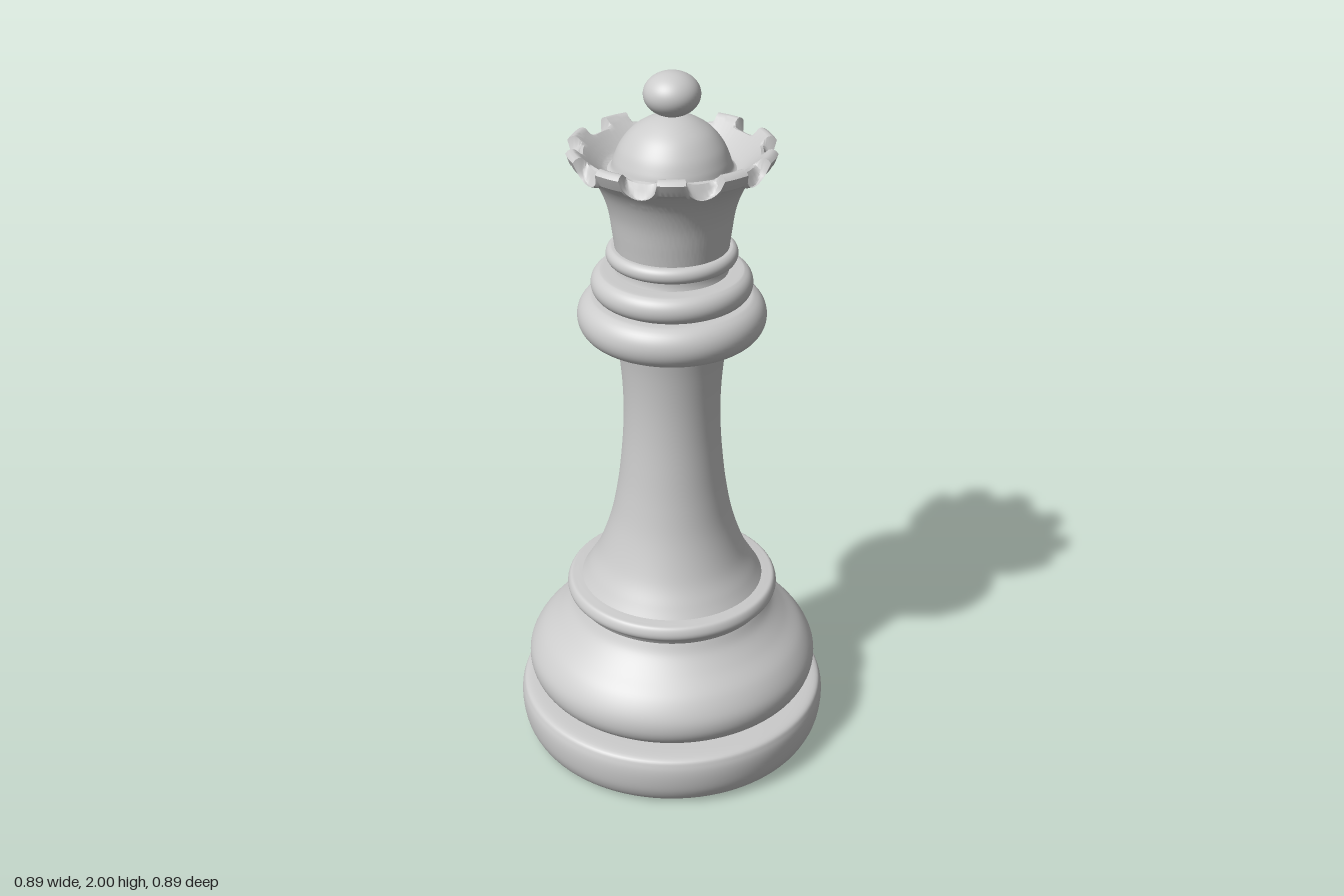
import * as THREE from 'three';
import { mergeVertices, toCreasedNormals } from 'three/addons/utils/BufferGeometryUtils.js';

const material = new THREE.MeshStandardMaterial({ color: 0xcccccc });
const toVectors = (pairs) => pairs.map(([r, y]) => new THREE.Vector2(r, y));

// Turned part: a smooth curve through [radius, height] pairs, bottom to top
function turned(name, pairs, smooth = 6) {
  const curve = new THREE.SplineCurve(toVectors(pairs));
  const points = curve.getPoints((pairs.length - 1) * smooth);
  const mesh = new THREE.Mesh(new THREE.LatheGeometry(points, 96), material);
  mesh.name = name;
  return mesh;
}

// Rounded ring with a squarish rim, closed inwards to the radius inner
function collar(name, inner, outer, y0, y1) {
  const h = y1 - y0, c = h * 0.5;
  const pairs = [[inner, y0]];
  for (let i = 0; i <= 8; i++) {
    const a = -Math.PI / 2 + (Math.PI * i) / 8;
    pairs.push([outer - c * 0.9 + c * 0.9 * Math.cos(a), y0 + c + c * Math.sin(a)]);
  }
  pairs.push([inner, y1]);
  return turned(name, pairs, 3);
}

// Flared cup whose lip is scooped into ten teeth
function crown() {
  const outside = new THREE.SplineCurve(toVectors([
    [0.15, 1.515], [0.157, 1.57], [0.168, 1.64], [0.19, 1.7], [0.222, 1.745], [0.25, 1.765],
  ])).getPoints(30);
  const lip = toVectors([[0.26, 1.768], [0.268, 1.784], [0.275, 1.8], [0.268, 1.808], [0.258, 1.812],
    [0.25, 1.81], [0.243, 1.804], [0.236, 1.798], [0.228, 1.791]]);
  const inside = new THREE.SplineCurve(toVectors([
    [0.22, 1.784], [0.2, 1.766], [0.178, 1.748], [0.162, 1.742],
  ])).getPoints(10);
  let geometry = new THREE.LatheGeometry([...outside, ...lip, ...inside], 240);
  const pos = geometry.attributes.position;
  const teeth = 10, step = 360 / teeth, halfNotch = 10.5;
  for (let i = 0; i < pos.count; i++) {
    const x = pos.getX(i), y = pos.getY(i), z = pos.getZ(i);
    const r = Math.hypot(x, z);
    if (r < 0.225 || y < 1.75) continue;
    // angle from the middle of the nearest notch
    const a = THREE.MathUtils.radToDeg(Math.atan2(-z, x)) + 9;
    const d = THREE.MathUtils.euclideanModulo(a, step) - step / 2;
    const n = Math.sqrt(Math.max(0, 1 - (d / halfNotch) ** 2));
    const drop = n * THREE.MathUtils.smoothstep(r, 0.228, 0.254);
    const k = (r - n * Math.max(0, r - 0.25) * 0.7) / r;
    pos.setXYZ(i, x * k, y - drop * (y - 1.752), z * k);
  }
  geometry.deleteAttribute('normal');
  geometry.deleteAttribute('uv');
  geometry = toCreasedNormals(mergeVertices(geometry, 1e-5), 0.65);
  const mesh = new THREE.Mesh(geometry, material);
  mesh.name = 'crown';
  return mesh;
}

export function createModel() {
  const group = new THREE.Group();
  group.name = 'chessQueen';

  // Foot with a flat underside
  const underside = new THREE.Mesh(new THREE.CircleGeometry(0.385, 96).rotateX(Math.PI / 2), material);
  underside.name = 'underside';
  group.add(underside, turned('foot', [
    [0.385, 0], [0.415, 0.012], [0.436, 0.05], [0.444, 0.1], [0.44, 0.14], [0.422, 0.16], [0.35, 0.164],
  ]));

  // Bell and the moulding above it
  group.add(turned('bell', [
    [0.35, 0.16], [0.376, 0.178], [0.404, 0.205], [0.416, 0.24], [0.41, 0.28],
    [0.38, 0.327], [0.33, 0.372], [0.292, 0.412], [0.274, 0.445],
  ]));
  group.add(turned('moulding', [
    [0.272, 0.44], [0.283, 0.46], [0.297, 0.472], [0.3, 0.488], [0.292, 0.506], [0.275, 0.51], [0.24, 0.513],
  ]));

  // Waisted column
  group.add(turned('column', [
    [0.262, 0.505], [0.24, 0.54], [0.207, 0.6], [0.173, 0.7], [0.153, 0.8], [0.141, 0.9],
    [0.134, 1.0], [0.134, 1.1], [0.142, 1.2], [0.157, 1.29],
  ]));

  // Stacked collars and the neck inside them
  group.add(
    collar('lowerCollar', 0.13, 0.254, 1.275, 1.39),
    collar('middleCollar', 0.13, 0.216, 1.388, 1.462),
    turned('neck', [[0.16, 1.44], [0.148, 1.475], [0.15, 1.53]]),
    collar('upperCollar', 0.13, 0.175, 1.487, 1.53),
  );

  // Crown, dome and finial
  group.add(crown());
  group.add(turned('dome', [
    [0.17, 1.742], [0.158, 1.75], [0.15, 1.775], [0.134, 1.81], [0.106, 1.845], [0.07, 1.87], [0.035, 1.884], [0, 1.888],
  ]));
  const finial = new THREE.Mesh(new THREE.SphereGeometry(0.074, 48, 32), material);
  finial.name = 'finial';
  finial.scale.y = 0.78;
  finial.position.y = 1.942;
  group.add(finial);

  return group;
}
